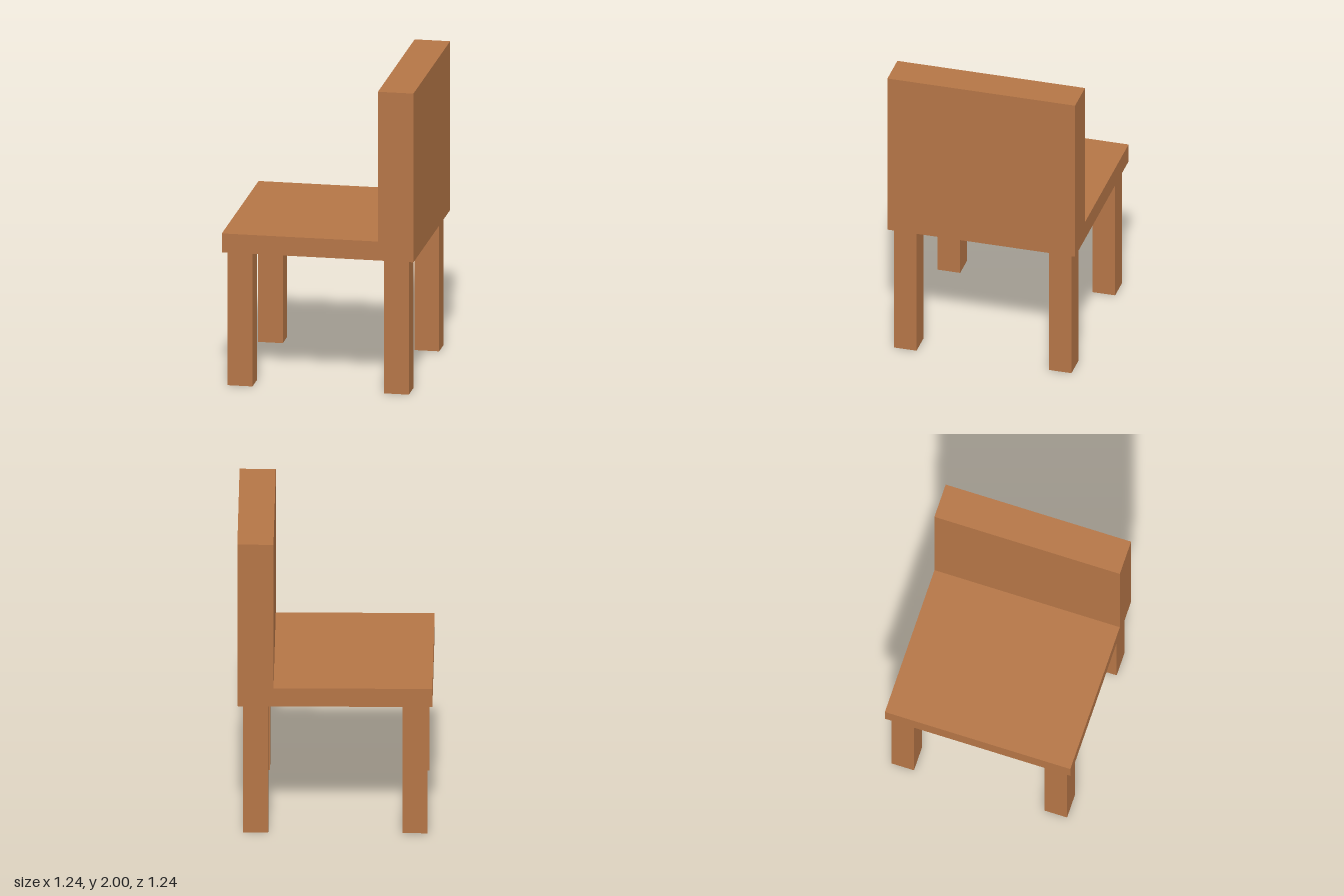
import * as THREE from 'three';

export function createModel() {
  const chair = new THREE.Group();
  chair.name = 'chair';
  const wood = new THREE.MeshStandardMaterial({ color: 0xb47546 });
  wood.name = 'warm brown wood';

  // Seat and backrest: one L-shaped profile, extruded across the width
  const half = 0.62, seatBottom = 0.885, seatTop = 1.01, backX = 0.39;
  const profile = new THREE.Shape([
    [-half, seatBottom], [half, seatBottom], [half, 2],
    [backX, 2], [backX, seatTop], [-half, seatTop],
  ].map(([x, y]) => new THREE.Vector2(x, y)));
  const bodyGeometry = new THREE.ExtrudeGeometry(profile, { depth: half * 2, bevelEnabled: false });
  bodyGeometry.translate(0, 0, -half);
  const body = new THREE.Mesh(bodyGeometry, wood);
  body.name = 'seatAndBackrest';
  chair.add(body);

  // Four square legs, flush with the underside of the seat
  const legGeometry = new THREE.BoxGeometry(0.16, seatBottom, 0.15);
  for (const [xName, x] of [['Front', -0.508], ['Back', 0.504]]) {
    for (const [zName, z] of [['Left', 0.513], ['Right', -0.511]]) {
      const leg = new THREE.Mesh(legGeometry, wood);
      leg.name = `leg${xName}${zName}`;
      leg.position.set(x, seatBottom / 2, z);
      chair.add(leg);
    }
  }
  return chair;
}
